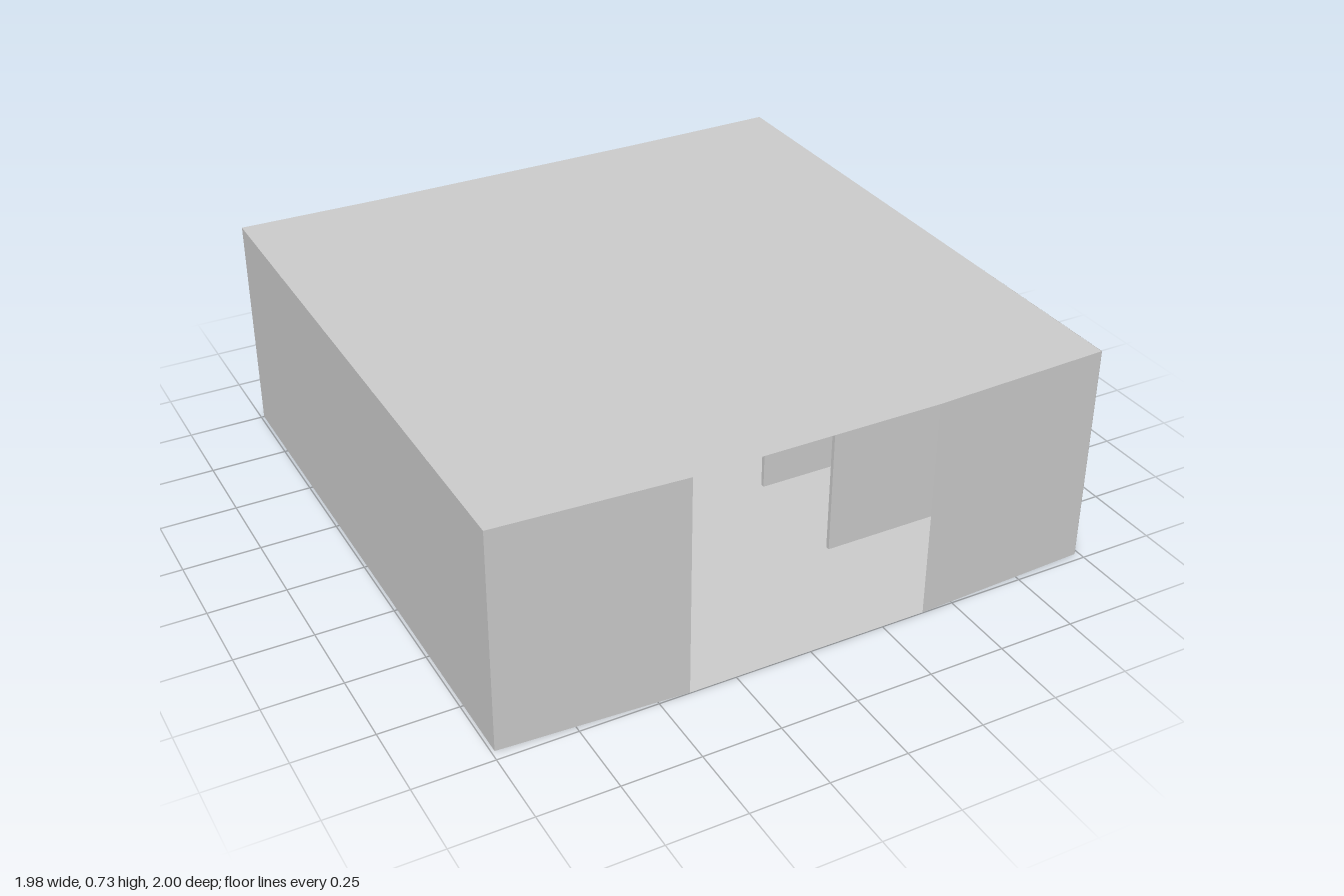
import * as THREE from 'three';

const H = 0.73;            // wall height
const T = 0.014;           // divider thickness
const DIVIDERS = [0.586, 0.187, -0.21, -0.603];

export function createModel() {
  const model = new THREE.Group();
  const mat = new THREE.MeshStandardMaterial({ color: 0xcccccc, flatShading: true, side: THREE.DoubleSide });

  const add = (name, geometry) => {
    const mesh = new THREE.Mesh(geometry, mat);
    mesh.name = name;
    model.add(mesh);
    return mesh;
  };

  // Thin upright sheet between two plan points [x, z]; outside is to the right of a -> b
  const wall = (name, a, b) => {
    const dx = b[0] - a[0], dz = b[1] - a[1];
    const mesh = add(name, new THREE.PlaneGeometry(Math.hypot(dx, dz), H));
    mesh.position.set((a[0] + b[0]) / 2, H / 2, (a[1] + b[1]) / 2);
    mesh.rotation.y = Math.atan2(-dz, dx);
  };

  // Plan outline, front left to right and round the back
  const front = [[-0.99, 0.965], [-0.4, 0.998], [0.395, 0.998], [0.985, 0.973]];
  const back = [[0.988, -1], [0.45, -0.99], [-0.52, -0.99], [-0.99, -1]];

  // Floor and roof sheets
  const plan = new THREE.Shape([...front, ...back].map(([x, z]) => new THREE.Vector2(x, -z)));
  for (const [name, y] of [['floor', 0], ['roof', H]]) {
    const geometry = new THREE.ShapeGeometry(plan);
    geometry.rotateX(-Math.PI / 2);
    add(name, geometry).position.y = y;
  }

  // Front panels either side of the wide opening
  wall('frontPanelRight', front[0], front[1]);
  wall('frontPanelLeft', front[2], front[3]);

  // Back wall, slightly bowed inwards
  for (let i = 0; i < 3; i++) wall('backWall', back[i], back[i + 1]);

  // Side panels, split where the dividers come through
  let start = [0.973, 0.965];
  [...DIVIDERS, null].forEach((z) => {
    const end = z === null ? -1 : z + T / 2;
    wall('sidePanelLeft', [0.986, start[0]], [0.986, end]);
    wall('sidePanelRight', [-0.99, end], [-0.99, start[1]]);
    if (z !== null) start = [z - T / 2, z - T / 2];
  });

  // Cross dividers with a full-height doorway in the middle
  for (const z of DIVIDERS) {
    for (const [name, x0, x1] of [['dividerRight', -0.99, -0.3], ['dividerLeft', 0.32, 0.986]]) {
      add(name, new THREE.BoxGeometry(x1 - x0, H - 0.002, T)).position.set((x0 + x1) / 2, H / 2, z);
    }
  }
  return model;
}
